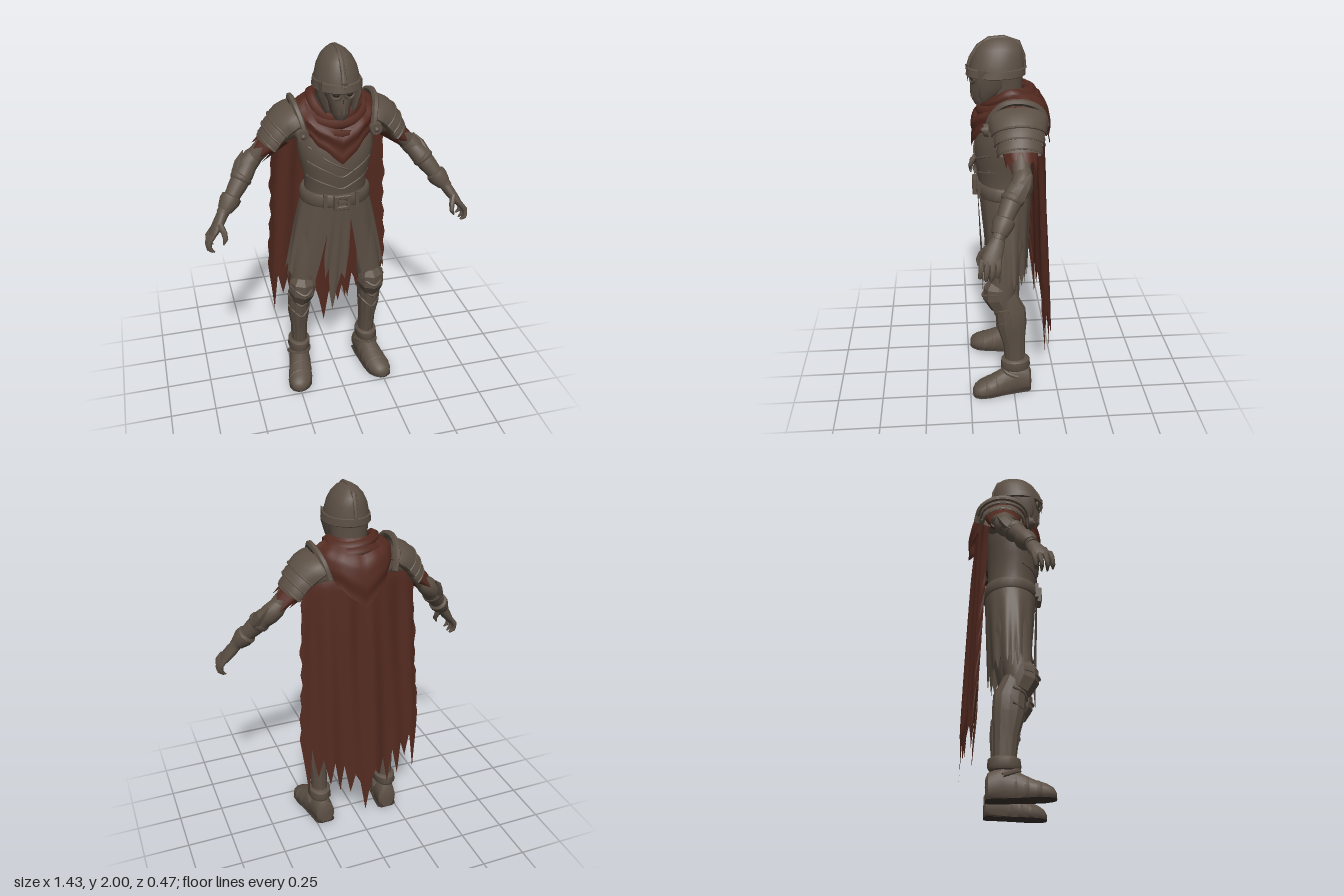
import * as THREE from 'three';
import { toCreasedNormals } from 'three/addons/utils/BufferGeometryUtils.js';
import { ParametricGeometry } from 'three/addons/geometries/ParametricGeometry.js';

const V = (x, y, z) => new THREE.Vector3(x, y, z);
const lerp = THREE.MathUtils.lerp;
const X = V(1, 0, 0), Y = V(0, 1, 0), Z = V(0, 0, 1);

// Skin elliptical rings [x, y, z, r1, r2] along a path; r2 lies towards `ref`.
function loft(rings, { n = 16, cap = true, axis = null, ref = Z, inner = 1, floor = -1 } = {}) {
  const c = rings.map(r => V(r[0], r[1], r[2])), pos = [], idx = [], last = rings.length - 1;
  rings.forEach((r, i) => {
    const t = axis ? axis.clone() : c[Math.min(i + 1, last)].clone().sub(c[Math.max(i - 1, 0)]).normalize();
    const u = ref.clone().addScaledVector(t, -ref.dot(t)).normalize(), v = t.clone().cross(u);
    for (let j = 0; j < n; j++) {
      const a = j / n * Math.PI * 2, k = Math.cos(a);
      const p = c[i].clone().addScaledVector(v, r[3] * k * (k > 0 ? inner : 1)).addScaledVector(u, (r[4] ?? r[3]) * Math.sin(a));
      pos.push(p.x, Math.max(p.y, floor), p.z);
    }
  });
  for (let i = 0; i < last; i++) for (let j = 0; j < n; j++) {
    const a = i * n + j, b = i * n + (j + 1) % n;
    idx.push(a, a + n, b, b, a + n, b + n);
  }
  if (cap) {
    const s = pos.length / 3;
    pos.push(c[0].x, Math.max(c[0].y, floor), c[0].z, c[last].x, Math.max(c[last].y, floor), c[last].z);
    for (let j = 0; j < n; j++) {
      const k = (j + 1) % n;
      idx.push(s, j, k, s + 1, last * n + k, last * n + j);
    }
  }
  const g = new THREE.BufferGeometry();
  g.setAttribute('position', new THREE.Float32BufferAttribute(pos, 3));
  g.setIndex(idx);
  return g;
}

const cord = (pts, r, closed = false, seg = 24) =>
  new THREE.TubeGeometry(new THREE.CatmullRomCurve3(pts.map(p => V(...p)), closed), seg, r, 6, closed);
const sheet = (f, nu, nv) => new ParametricGeometry((u, v, p) => p.set(...f(u, v)), nu, nv);

// Piecewise linear lookup, and a seeded zigzag for torn hems
const table = list => u => {
  const s = THREE.MathUtils.clamp(u, 0, 1) * (list.length - 1), i = Math.min(Math.floor(s), list.length - 2);
  return lerp(list[i], list[i + 1], s - i);
};
function ragged(n, seed) {
  const list = [];
  for (let i = 0; i <= n; i++) {
    seed = (seed * 16807) % 2147483647;
    list.push((i % 2 ? 0.55 : 0) + 0.45 * seed / 2147483647);
  }
  return table(list);
}

export function createModel() {
  const model = new THREE.Group();
  const mat = (name, color) => Object.assign(new THREE.MeshStandardMaterial({ color, side: THREE.DoubleSide }), { name });
  const armor = mat('weathered armor', 0x5c5045), cloth = mat('rust cloth', 0x532a20), dark = mat('dark hollow', 0x3a322c);

  const add = (name, geo, m = armor, crease = 0.7) => {
    geo.deleteAttribute('uv');
    const g = toCreasedNormals(geo, crease), mesh = new THREE.Mesh(g, m);
    mesh.name = name;
    model.add(mesh);
    return g;
  };
  // Adds a part on the left and its mirrored twin on the right
  const pair = (name, geo, m, crease) => {
    const g = add(name + 'Left', geo, m, crease).clone().scale(-1, 1, 1);
    for (const key of ['position', 'normal']) {
      const a = g.attributes[key], p = V(), q = V();
      for (let i = 0; i < a.count; i += 3) {
        p.fromBufferAttribute(a, i + 1); q.fromBufferAttribute(a, i + 2);
        a.setXYZ(i + 1, q.x, q.y, q.z); a.setXYZ(i + 2, p.x, p.y, p.z);
      }
    }
    const mesh = new THREE.Mesh(g, m ?? armor);
    mesh.name = name + 'Right';
    model.add(mesh);
  };
  const up = { axis: Y, n: 28 };

  // Torso and breastplate ridges that follow its surface
  const body = [[0, 1.12, .035, .175, .13], [0, 1.22, .04, .165, .135], [0, 1.3, .045, .167, .138], [0, 1.38, .05, .185, .145],
    [0, 1.47, .045, .2, .145], [0, 1.56, .025, .2, .135], [0, 1.66, .0, .16, .11], [0, 1.71, .01, .09, .09]];
  add('torso', loft(body, up));
  const onChest = (x, y) => {
    const i = Math.max(1, body.findIndex(r => r[1] >= y)), a = body[i - 1], b = body[i], t = (y - a[1]) / (b[1] - a[1]);
    const k = x / lerp(a[3], b[3], t);
    return [x, y, lerp(a[2], b[2], t) + lerp(a[4], b[4], t) * Math.sqrt(Math.max(0, 1 - k * k))];
  };
  [[1.42, 1.34], [1.33, 1.27]].forEach(([side, mid]) => add('plateRidge', cord(
    [-.165, -.12, -.06, 0, .06, .12, .165].map(x => onChest(x, lerp(mid, side, Math.abs(x) / .165))), .005)));
  add('crossRidge', cord([[-.16, 1.5], [-.06, 1.43], [.04, 1.38], [.15, 1.33]].map(p => onChest(...p)), .005));

  // Belt and buckle
  add('belt', loft([[0, 1.165, .035, .187, .15], [0, 1.175, .035, .193, .156], [0, 1.225, .035, .188, .154], [0, 1.235, .035, .18, .148]], up));
  const frame = new THREE.Shape([[-.04, -.038], [.04, -.038], [.04, .038], [-.04, .038]].map(p => new THREE.Vector2(...p)));
  frame.holes.push(new THREE.Path([[-.026, -.024], [-.026, .024], [.026, .024], [.026, -.024]].map(p => new THREE.Vector2(...p))));
  add('buckle', new THREE.ExtrudeGeometry(frame, { depth: .018, bevelSize: .004, bevelThickness: .004, bevelSegments: 1 }).translate(0, 1.2, .186));
  add('bucklePin', new THREE.BoxGeometry(.06, .01, .012).translate(.01, 1.2, .201));
  pair('beltLoop', new THREE.BoxGeometry(.018, .085, .02).translate(.085, 1.2, .175));

  // Torn skirt: two wrapping panels, a slanting tabard and a cloth strip behind it
  const hem = ragged(24, 77);
  pair('skirtPanel', sheet((u, v) => {
    const bottom = .69 + .15 * Math.exp(-(((u - .12) / .12) ** 2)) * u * 4 + .13 * (hem(u) - .4);
    const y = lerp(1.19, bottom, v), t = (1.19 - y) / .5;
    const a = lerp(.2 + .32 * Math.min(t, 1), Math.PI, u), fold = 1 + .05 * t * Math.sin(a * 11);
    return [Math.sin(a) * lerp(.178, .28, Math.min(1, t) ** .8) * fold, y, .033 + Math.cos(a) * lerp(.143, .118, t) * fold];
  }, 48, 10));
  const tabHem = table([.86, .72, .78, .6, .5, .64, .74, .7, .88]);
  add('tabard', sheet((u, v) => {
    const y = lerp(1.19, tabHem(u), v), t = (1.19 - y) / .7;
    return [(u - .5) * lerp(.11, .17, t) - .045 * t, y, .181 - .03 * t + .008 * Math.sin(u * 16) * t];
  }, 32, 10));
  const stripHem = table([.72, .64, .75, .62, .72, .56, .75, .66, .85]);
  add('clothStrip', sheet((u, v) => {
    const y = lerp(1.15, stripHem(u), v), t = (1.15 - y) / .5;
    return [lerp(-.05 - .08 * t, .05 + .08 * t, u), y, .158 - .022 * t];
  }, 32, 6), cloth);

  // Cloak with uneven hanging folds and a torn hem
  const cloakHem = table([.62, .32, .56, .42, .52, .33, .5, .28, .46, .36, .41, .3, .14, .34, .4, .28, .46, .3, .5, .36, .52, .4, .58, .3, .6]);
  const edge = ragged(14, 9);
  add('cloak', sheet((s, v) => {
    const u = s * 2 - 1, y = lerp(1.66 - .15 * u * u, cloakHem(s), v), t = (1.66 - y) / 1.5;
    const w = lerp(.3, .35, Math.min(1, t * 1.5)) + .025 * (edge(v) - .5) * Math.abs(u) ** 8;
    const fold = .008 * Math.sin(u * 17 + t * 2) + .007 * Math.sin(u * 9.3 - t * 2 + 1);
    return [u * w, y, -.16 - .07 * t + .07 * u * u + fold * Math.min(1, t * 4) + .045 * Math.max(0, 1 - t * 14)];
  }, 72, 30), cloth);

  // Neck scarf: a mantle with front and back points, topped by wrapped rolls
  add('mantle', sheet((s, v) => {
    const a = s * Math.PI * 2, c = Math.cos(a), side = Math.abs(Math.sin(a)), front = Math.max(0, c);
    const bottom = 1.6 - (1 - side) * .18 + .012 * Math.sin(a * 13) * side;
    const y = lerp(1.75 - .09 * front, bottom, v), r = Math.sin(Math.min(1, v * (c > 0 ? 2.2 : 1.8)) * Math.PI / 2);
    return [Math.sin(a) * lerp(.1, .205, r), y, -.005 + c * lerp(.08, c > 0 ? .212 : .2, r) + .004 * Math.sin(v * 16)];
  }, 64, 14), cloth);
  [[1.725, .118, .11, .03], [1.695, .15, .135, .028], [1.65, .172, .16, .022]].forEach(([y, rx, rz, r], k) => add('scarfRoll', cord(
    Array.from({ length: 12 }, (_, i) => {
      const a = i / 12 * Math.PI * 2, c = Math.cos(a);
      return [Math.sin(a) * rx, y + (c > 0 ? -.08 : .01) * c + .008 * Math.sin(a * 2 + k), .008 + c * (c > 0 ? rz + .015 : rz)];
    }), r, true, 48), cloth, 1.2));

  // Neck and masked face
  add('neckGuard', loft([[0, 1.66, .03, .09, .09], [0, 1.75, .04, .098, .098], [0, 1.83, .045, .108, .108]], up));
  add('mask', loft([[0, 1.65, .14, .03, .045], [0, 1.68, .135, .048, .067], [0, 1.735, .127, .057, .083], [0, 1.765, .12, .072, .085], [0, 1.83, .12, .085, .09]], { axis: Y, n: 20 }));
  pair('eye', new THREE.SphereGeometry(1, 14, 10).scale(.02, .015, .01).rotateY(.35).translate(.034, 1.793, .197), dark);
  pair('eyeRim', new THREE.TorusGeometry(.025, .007, 6, 18).rotateY(.35).translate(.034, 1.793, .199));
  add('noseHollow', new THREE.ConeGeometry(.01, .025, 3).scale(1, 1, .5).translate(0, 1.757, .205), dark);
  for (let i = -2; i <= 2; i++) add('tooth', new THREE.BoxGeometry(.012, .045, .012).translate(i * .017, 1.712, .202 - .008 * i * i));
  pair('cheekGuard', loft([[.1, 1.84, .1, .014, .07], [.096, 1.77, .11, .014, .065], [.075, 1.7, .135, .012, .035], [.07, 1.68, .14, .006, .012]], { n: 8 }));

  // Helmet
  add('helmet', loft([[0, 1.805, .072, .12, .143], [0, 1.85, .07, .112, .138], [0, 1.9, .065, .1, .128], [0, 1.94, .06, .08, .113], [0, 1.97, .057, .053, .085], [0, 1.986, .055, .028, .05], [0, 1.99, .055, .006, .01]], up));
  add('helmetBrim', loft([[0, 1.8, .077, .115, .148], [0, 1.805, .077, .126, .153], [0, 1.84, .074, .12, .149], [0, 1.845, .074, .11, .14]], { ...up, cap: false }));
  add('helmetCrest', loft([[0, 1.83, .222, .01, .014], [0, 1.89, .2, .013, .013], [0, 1.945, .163, .014], [0, 1.98, .11, .014], [0, 1.986, .04, .014], [0, 1.96, -.035, .015], [0, 1.9, -.06, .013], [0, 1.83, -.07, .01]], { n: 8, ref: X }));
  add('nasal', new THREE.ConeGeometry(.018, .09, 4).rotateX(Math.PI).scale(1, 1, .6).translate(0, 1.81, .22));

  // Layered pauldrons, narrowing towards the arm
  [[[.175, 1.64, .075, .135], [.2, 1.615, .092, .15], [.235, 1.59, .1, .144], [.265, 1.562, .098, .134]],
    [[.255, 1.57, .088, .122], [.28, 1.545, .093, .128], [.3, 1.52, .091, .123]],
    [[.29, 1.53, .082, .108], [.31, 1.5, .086, .115], [.325, 1.477, .084, .11]]].forEach(l => {
    pair('pauldronLame', loft(l.map(r => [r[0], r[1], -.02, r[2], r[3]]), { n: 24, cap: false, inner: .3 }));
    const e = l[l.length - 1];
    pair('pauldronRim', cord(Array.from({ length: 9 }, (_, i) => {
      const a = i / 8 * Math.PI, o = e[2] * Math.sin(a) * .7;
      return [e[0] + o, e[1] + o, -.02 + e[3] * Math.cos(a)];
    }), .006));
  });
  pair('shoulderGuard', cord([[.175, 1.56, .135], [.192, 1.64, .11], [.21, 1.705, .045], [.212, 1.71, -.06], [.195, 1.66, -.14], [.175, 1.58, -.165]], .017));
  pair('shoulderDisc', new THREE.CylinderGeometry(.03, .036, .025, 18).rotateX(Math.PI / 2).translate(.19, 1.57, .14));
  pair('discStud', new THREE.SphereGeometry(.014, 10, 8).translate(.19, 1.57, .153));

  // Arms
  const torn = ragged(12, 31);
  pair('sleeve', sheet((s, v) => {
    const a = s * Math.PI * 2, l = v * (.085 + .1 * torn(s === 1 ? 0 : s)), r = lerp(.08, .06, v);
    return [.28 + l * .77 + Math.cos(a) * r * .6, 1.535 - l * .64 + Math.cos(a) * r * .6, -.02 + Math.sin(a) * r * 1.2];
  }, 36, 4), cloth);
  pair('upperArm', loft([[.16, 1.6, -.02, .085, .135], [.25, 1.56, -.02, .062, .1], [.35, 1.48, -.02, .048], [.44, 1.39, -.02, .043]]));
  pair('elbowGuard', loft([[.395, 1.435, -.025, .04], [.42, 1.41, -.025, .05], [.45, 1.38, -.015, .053], [.47, 1.355, 0, .048]]));
  pair('elbowSpike', loft([[.535, 1.3, .04, .014, .02], [.515, 1.345, .008, .028, .042], [.497, 1.39, -.024, .022, .034], [.466, 1.437, -.06, .002, .003]], { n: 6 }), armor, .3);
  pair('forearm', loft([[.44, 1.385, -.01, .042], [.48, 1.34, .02, .052], [.52, 1.29, .05, .048], [.57, 1.225, .085, .037], [.615, 1.17, .11, .032]]));
  pair('forearmBand', loft([[.485, 1.335, .025, .05], [.49, 1.33, .027, .057], [.5, 1.317, .034, .057], [.505, 1.31, .038, .05]]));
  pair('gauntletCuff', loft([[.55, 1.25, .07, .04], [.555, 1.243, .073, .053], [.572, 1.222, .085, .053], [.6, 1.187, .102, .038]]));
  pair('palm', loft([[.605, 1.18, .105, .03, .032], [.635, 1.135, .125, .028, .044], [.665, 1.095, .143, .022, .048], [.682, 1.07, .15, .014, .042]]));
  for (let k = 0; k < 4; k++) {
    const z = .108 + k * .027, d = .008 * Math.abs(k - 1.5);
    pair('finger', loft([[.67, 1.095, z, .013], [.697, 1.06, z + .004, .0135], [.71 - d, 1.03, z + .008, .0115], [.706 - d, 1.005 + d, z + .01, .011], [.686 - d, .98 + d * 2, z + .01, .004]], { n: 8 }));
  }
  pair('thumb', loft([[.635, 1.14, .16, .017], [.618, 1.1, .19, .0155], [.615, 1.07, .203, .013], [.628, 1.043, .205, .004]], { n: 8 }));

  // Legs
  pair('thigh', loft([[.1, 1.08, .03, .09, .1], [.14, .9, .035, .095, .1], [.18, .74, .055, .075, .08], [.2, .62, .065, .066, .07]]));
  pair('greave', loft([[.2, .62, .05, .058, .065], [.208, .52, .018, .063, .085], [.21, .44, .012, .062, .084], [.207, .33, 0, .048, .064], [.205, .16, -.01, .046, .054]], { n: 12 }), armor, .4);
  pair('kneeGuard', loft([[.195, .705, .085, .05, .055], [.198, .675, .088, .072, .078], [.2, .62, .085, .077, .085], [.205, .56, .06, .062, .07]], { n: 8 }), armor, .3);
  pair('kneeRidge', cord([[.132, .655, .09], [.155, .645, .14], [.2, .625, .17], [.245, .645, .14], [.268, .655, .09]], .008));
  [[.54, .107], [.46, .097]].forEach(([y, z]) => pair('greaveRidge', cord(
    [[.148, y + .02, .03], [.17, y, z - .022], [.208, y - .03, z - .004], [.246, y, z - .022], [.27, y + .02, .03]], .007)));
  pair('shinRidge', cord([[.21, .44, .092], [.207, .33, .062], [.205, .2, .043]], .007));
  pair('ankleCuff', loft([[.205, .215, -.01, .05, .06], [.206, .205, -.01, .062, .08], [.208, .165, -.01, .064, .084], [.21, .15, -.01, .055, .075]], up));

  // Armored boots with dark soles
  const boot = { n: 20, ref: Y, axis: Z, floor: .004 };
  const last = [[.197, .055, -.1, .04, .06], [.198, .062, -.088, .055, .08], [.205, .07, -.02, .06, .1], [.218, .055, .06, .063, .085],
    [.232, .04, .13, .069, .062], [.242, .032, .19, .064, .048], [.248, .026, .222, .045, .034], [.25, .02, .236, .02, .016]];
  pair('boot', loft(last, boot));
  pair('sole', loft(last.map(([x, , z, w]) => [x, .004, z, w + .002, .005]), { ...boot, floor: 0 }), dark);
  [[.215, .05, .045, .066, .094], [.226, .042, .1, .07, .077], [.237, .034, .155, .072, .061]].forEach(([x, y, z, w, h]) =>
    pair('bootLame', loft([[x - .005, y + .002, z - .02, w - .004, h + .002], [x, y, z, w, h], [x + .002, y, z + .01, w - .006, h - .01]], boot)));
  pair('bootStrap', cord([[.145, .12, -.02], [.167, .14, .04], [.21, .15, .062], [.253, .137, .04], [.268, .115, -.02]], .012));
  return model;
}
